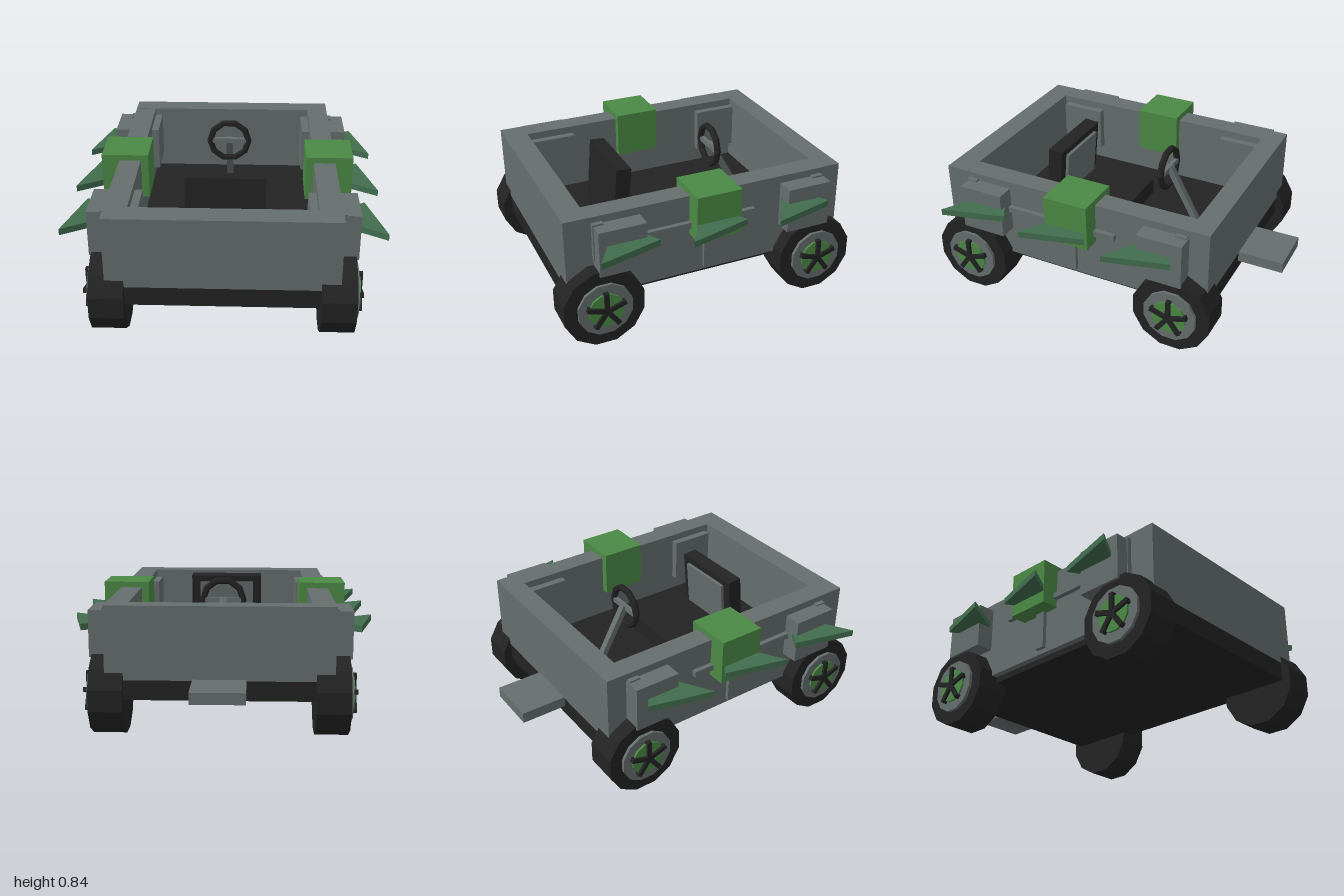
import * as THREE from 'three';

const mat = (name, color) => Object.assign(new THREE.MeshStandardMaterial({ color, flatShading: true }), { name });

export function createModel() {
  const car = new THREE.Group();
  car.name = 'openBuggy';
  const grey = mat('body grey', 0x666e6e);
  const black = mat('rubber black', 0x232323);
  const green = mat('bright green', 0x4b8a45);
  const darkGreen = mat('fin green', 0x426e4f);

  const add = (parent, name, geometry, material) => {
    const mesh = new THREE.Mesh(geometry, material);
    mesh.name = name;
    parent.add(mesh);
    return mesh;
  };
  // box given by its limits on each axis
  const box = (name, material, [x0, x1], [y0, y1], [z0, z1], parent = car) => {
    const m = add(parent, name, new THREE.BoxGeometry(Math.abs(x1 - x0), y1 - y0, z1 - z0), material);
    m.position.set((x0 + x1) / 2, (y0 + y1) / 2, (z0 + z1) / 2);
    return m;
  };

  // body tub
  box('floor', black, [-0.6, 0.6], [0.225, 0.345], [-0.728, 0.948]);
  box('frontWall', grey, [-0.637, 0.637], [0.338, 0.755], [0.812, 0.95]);
  box('backWall', grey, [-0.637, 0.637], [0.338, 0.755], [-0.73, -0.605]);
  box('towPlate', grey, [-0.15, 0.15], [0.28, 0.345], [-1, -0.65]);

  // triangular fin, broad edge outwards
  const finShape = new THREE.Shape([[0.53, -0.1], [0.79, 0.055], [0.885, -0.312]].map(([x, y]) => new THREE.Vector2(x, y)));
  const finGeometry = new THREE.ExtrudeGeometry(finShape, { depth: 0.037, bevelEnabled: false });
  finGeometry.rotateX(-Math.PI / 2);
  const finMirrored = finGeometry.clone().rotateZ(Math.PI).translate(0, 0.037, 0);

  for (const s of [1, -1]) {
    const side = new THREE.Group();
    side.name = s > 0 ? 'leftSide' : 'rightSide';
    car.add(side);
    const b = (name, m, [x0, x1], y, z) => box(name, m, [s * x0, s * x1], y, z, side);
    b('sideWall', grey, [0.51, 0.637], [0.262, 0.754], [-0.605, 0.812]);
    b('rail', grey, [0.63, 0.665], [0.565, 0.6], [-0.17, 0.53]);
    b('post', grey, [0.63, 0.66], [0.29, 0.58], [0.083, 0.146]);
    b('frontStrip', grey, [0.63, 0.665], [0.5, 0.72], [0.735, 0.798]);
    b('rearStrip', grey, [0.63, 0.665], [0.5, 0.72], [-0.605, -0.54]);
    // blocks through the wall, each with a fin
    b('frontBlock', grey, [0.465, 0.74], [0.44, 0.71], [0.52, 0.792]);
    b('rearBlock', grey, [0.465, 0.74], [0.44, 0.71], [-0.612, -0.342]);
    b('middleBlock', green, [0.465, 0.74], [0.515, 0.788], [-0.042, 0.228]);
    for (const z of [0.52, 0, -0.517]) {
      const fin = add(side, 'fin', s > 0 ? finGeometry : finMirrored, darkGreen);
      fin.position.set(0, 0.586, z);
    }
    // wheels
    for (const z of [0.77, -0.55]) {
      const wheel = new THREE.Group();
      wheel.name = 'wheel';
      wheel.position.set(0, 0.23, z);
      side.add(wheel);
      const disc = (name, m, r, x0, x1) => {
        const g = new THREE.CylinderGeometry(r, r, x1 - x0, 12);
        g.rotateY(Math.PI / 12).rotateZ(Math.PI / 2);
        add(wheel, name, g, m).position.x = s * (x0 + x1) / 2;
      };
      disc('tyre', black, 0.238, 0.533, 0.725);
      disc('rim', grey, 0.16, 0.7, 0.743);
      disc('hubDisc', green, 0.103, 0.72, 0.755);
      for (let i = 0; i < 5; i++) {
        const g = new THREE.BoxGeometry(0.03, 0.116, 0.027);
        g.translate(s * 0.755, 0.058, 0).rotateX(i * Math.PI * 2 / 5);
        add(wheel, 'spoke', g, black);
      }
    }
  }

  // seat, facing the back wall
  box('seatCushion', black, [-0.23, 0.23], [0.34, 0.45], [0.01, 0.47]);
  const back = new THREE.Group();
  back.name = 'seatBack';
  back.position.set(0, 0.35, 0.49);
  back.rotation.x = -0.09;
  car.add(back);
  box('backrest', black, [-0.23, 0.23], [0, 0.424], [-0.045, 0.045], back);
  box('backrestPad', grey, [-0.175, 0.175], [0.1, 0.385], [-0.065, -0.04], back);

  // steering wheel, bar and column
  const ring = new THREE.TorusGeometry(0.121, 0.02, 6, 10);
  ring.rotateZ(Math.PI / 10 * 2);
  ring.rotateZ(-Math.PI / 10 * 2 + Math.PI / 2 - Math.PI / 10);
  add(car, 'steeringWheel', ring, black).position.set(0, 0.705, -0.2);
  box('steeringBar', grey, [-0.11, 0.11], [0.69, 0.72], [-0.215, -0.19]);
  const column = add(car, 'steeringColumn', new THREE.BoxGeometry(0.04, 0.42, 0.035), grey);
  column.position.set(0, 0.53, -0.31);
  column.rotation.x = Math.atan2(0.2, 0.36);

  return car;
}
